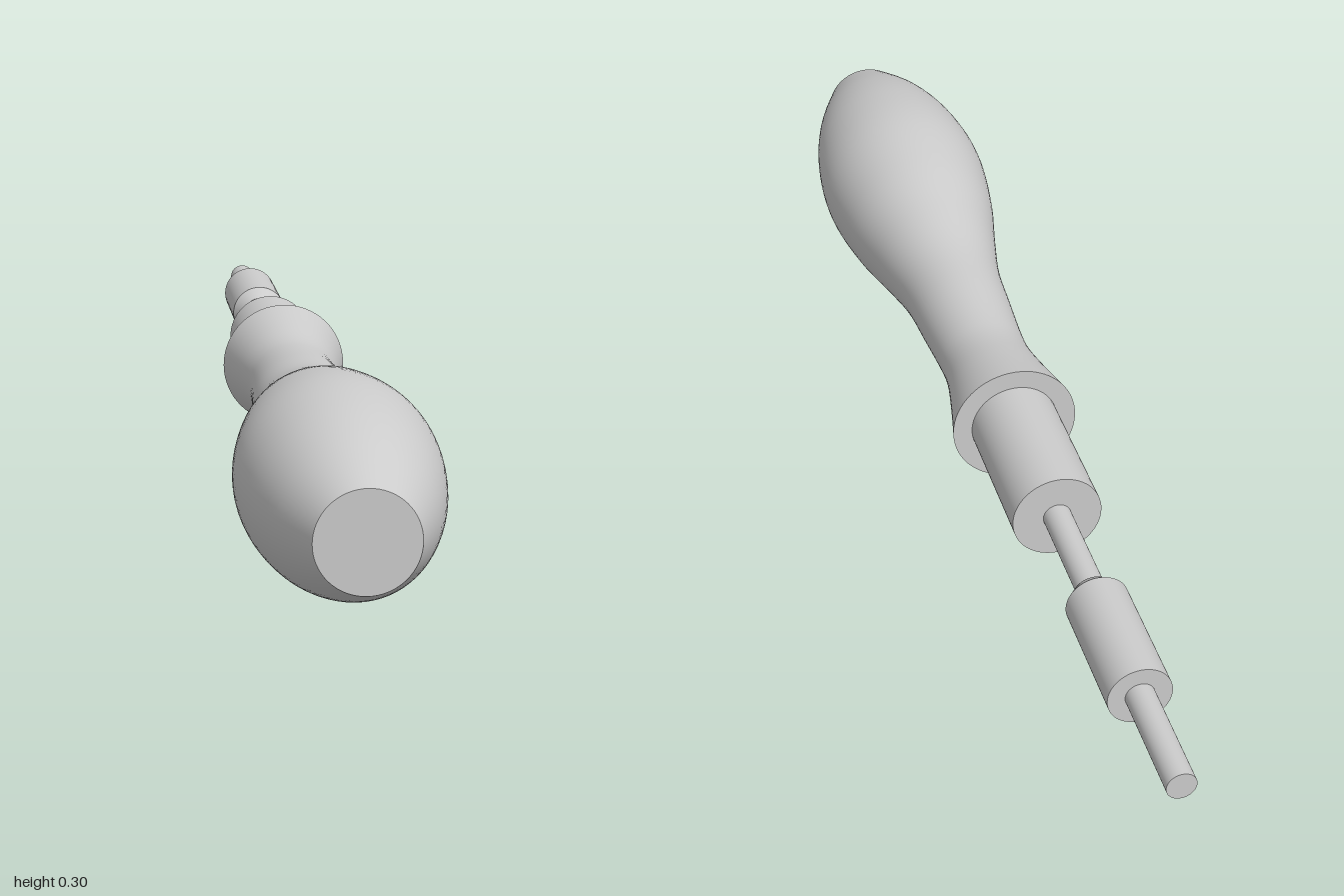
import * as THREE from 'three';

const AXIS_Y = 0.152;
const SEGMENTS = 64;

export function createModel() {
  const group = new THREE.Group();
  const material = new THREE.MeshStandardMaterial({ color: 0xcccccc });

  function add(name, geometry, z = 0) {
    const mesh = new THREE.Mesh(geometry, material);
    mesh.name = name;
    mesh.position.set(0, AXIS_Y, z);
    group.add(mesh);
  }

  // Round bar along z, from the back end to the front end
  function bar(name, zBack, zFront, rBack, rFront = rBack) {
    const geometry = new THREE.CylinderGeometry(rFront, rBack, zFront - zBack, SEGMENTS);
    add(name, geometry.rotateX(Math.PI / 2), (zBack + zFront) / 2);
  }

  // Turned handle: flared neck, slim waist and swollen grip, as (radius, z)
  const profile = new THREE.SplineCurve([
    [0.105, -0.125], [0.088, -0.04], [0.077, 0.03], [0.076, 0.09], [0.082, 0.19],
    [0.09, 0.3], [0.111, 0.41], [0.137, 0.53], [0.152, 0.66], [0.143, 0.78],
    [0.117, 0.89], [0.074, 1],
  ].map(([r, z]) => new THREE.Vector2(r, z)));
  add('handle', new THREE.LatheGeometry(profile.getPoints(66), SEGMENTS).rotateX(Math.PI / 2));
  add('handleButt', new THREE.CircleGeometry(0.074, SEGMENTS), 1);
  add('handleShoulder', new THREE.CircleGeometry(0.105, SEGMENTS).rotateY(Math.PI), -0.125);

  // Ferrule and thin shaft
  bar('ferrule', -0.38, -0.125, 0.073);
  bar('shaft', -1, -0.38, 0.023);

  // Collar near the tip, chamfered toward the handle
  bar('collar', -0.81, -0.597, 0.05);
  bar('collarChamfer', -0.597, -0.574, 0.05, 0.033);

  return group;
}
